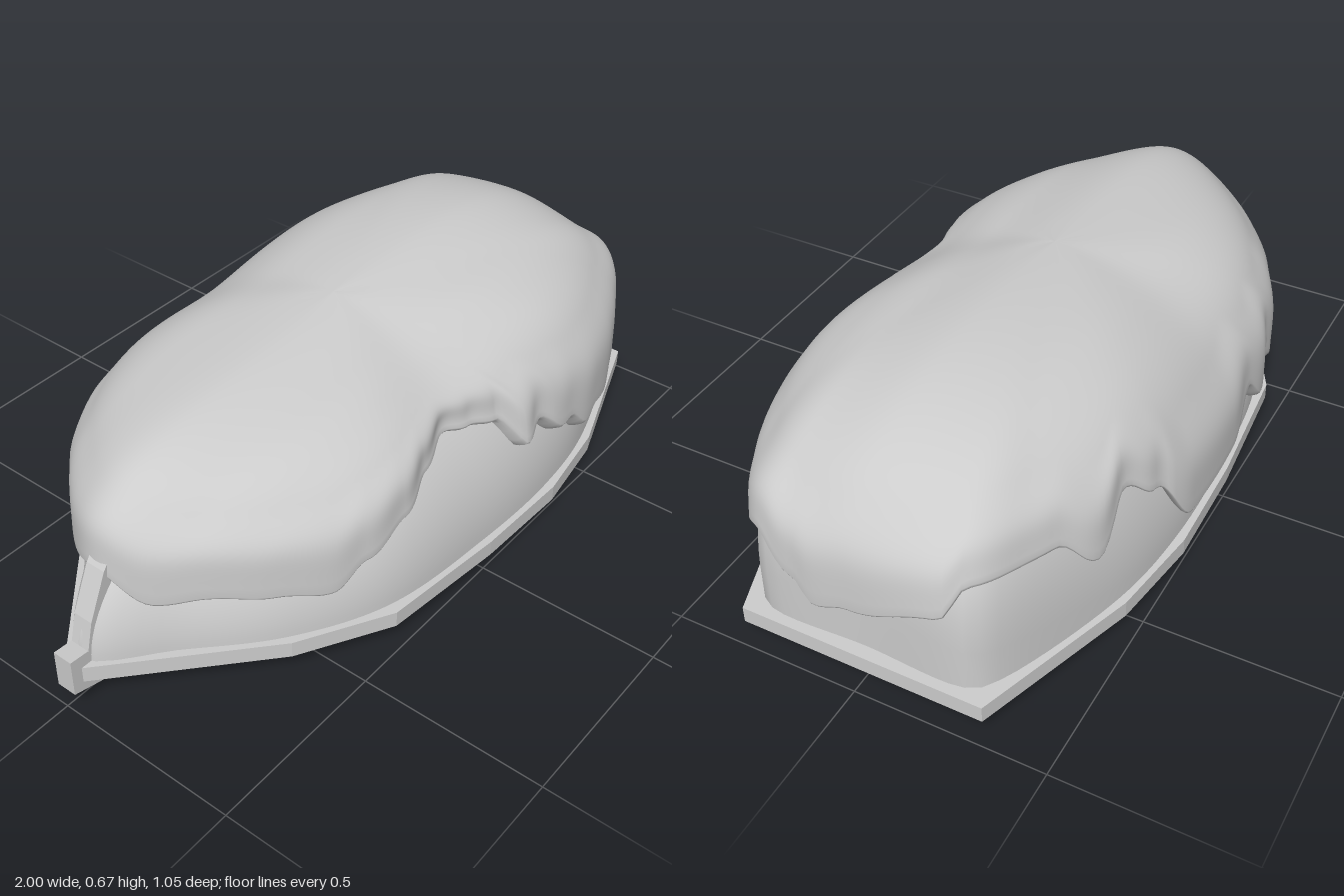
import * as THREE from 'three';

const grey = new THREE.MeshStandardMaterial({ color: 0xcccccc, side: THREE.DoubleSide });
const { smoothstep, clamp } = THREE.MathUtils;

// Plan outlines as [x, z], running from the bow round the +z side
const mirrorZ = (half) => [...half, ...half.filter(([, z]) => z > 0).reverse().map(([x, z]) => [x, -z])];
const smooth = (knots) => new THREE.CatmullRomCurve3(knots.map(([x, z]) => new THREE.Vector3(x, 0, z)), true)
  .getPoints(180).slice(0, -1).map((p) => [p.x, p.z]);
const rimPlan = mirrorZ([[-0.97, 0.028], [-0.6, 0.35], [-0.36, 0.48], [0, 0.512], [0.29, 0.517], [0.54, 0.477], [0.965, 0.325]]);
const hullPlan = smooth(mirrorZ([[-0.95, 0], [-0.78, 0.165], [-0.59, 0.33], [-0.35, 0.45], [0, 0.492], [0.29, 0.494], [0.54, 0.455],
  [0.89, 0.315], [0.93, 0.27], [0.93, 0]]));
const snowPlan = smooth([[-0.87, 0], [-0.82, 0.13], [-0.6, 0.345], [-0.36, 0.465], [0, 0.5], [0.29, 0.508], [0.54, 0.485], [0.8, 0.385],
  [0.96, 0.27], [0.99, 0], [0.96, -0.27], [0.8, -0.37], [0.54, -0.475], [0.3, -0.515], [0.05, -0.52], [-0.36, -0.465],
  [-0.6, -0.345], [-0.82, -0.12]]);

// Lower edge of the snow as [x, z, y]: +z side, stern, -z side
const edge = [[-0.87, 0, 0.35], [-0.81, 0.13, 0.28], [-0.73, 0.22, 0.295], [-0.62, 0.33, 0.275], [-0.5, 0.4, 0.25], [-0.42, 0.44, 0.31],
  [-0.3, 0.47, 0.36], [-0.2, 0.48, 0.41], [-0.08, 0.49, 0.44], [0.03, 0.5, 0.42], [0.13, 0.5, 0.4], [0.18, 0.5, 0.31],
  [0.26, 0.51, 0.345], [0.34, 0.5, 0.275], [0.38, 0.5, 0.28], [0.46, 0.49, 0.21], [0.53, 0.49, 0.225], [0.62, 0.46, 0.205],
  [0.7, 0.43, 0.25], [0.82, 0.37, 0.29], [0.96, 0.26, 0.37], [0.98, 0.15, 0.3], [0.985, 0.09, 0.245], [0.985, 0, 0.27],
  [0.97, -0.22, 0.33], [0.95, -0.28, 0.41], [0.75, -0.39, 0.4], [0.63, -0.44, 0.31], [0.54, -0.47, 0.42], [0.43, -0.5, 0.36],
  [0.28, -0.515, 0.205], [0.03, -0.52, 0.21], [-0.13, -0.51, 0.29], [-0.23, -0.49, 0.2], [-0.32, -0.47, 0.3], [-0.4, -0.45, 0.2],
  [-0.5, -0.41, 0.29], [-0.6, -0.34, 0.215], [-0.7, -0.25, 0.3], [-0.8, -0.14, 0.31]]
  .map(([x, z, y]) => [Math.atan2(z, x), y]).sort((a, b) => a[0] - b[0]);
const first = edge[0], last = edge[edge.length - 1];
const edgeLoop = [[last[0] - 2 * Math.PI, last[1]], ...edge, [first[0] + 2 * Math.PI, first[1]]];

function edgeHeight(angle) {
  const a = angle > Math.PI ? angle - 2 * Math.PI : angle;
  const k = Math.max(1, edgeLoop.findIndex((e) => e[0] >= a));
  const [p, q] = [edgeLoop[k - 1], edgeLoop[k]];
  const f = (1 - Math.cos(Math.PI * (a - p[0]) / (q[0] - p[0]))) / 2;
  return p[1] + (q[1] - p[1]) * f;
}

// Distance from the centre to a plan outline along an angle
function reach(plan, angle) {
  const c = Math.cos(angle), s = Math.sin(angle);
  let best = 0;
  plan.forEach(([x, z], i) => {
    const [x2, z2] = plan[(i + 1) % plan.length];
    const dx = x2 - x, dz = z2 - z, den = c * dz - s * dx;
    if (Math.abs(den) < 1e-9) return;
    const r = (x * dz - z * dx) / den, t = (x * s - z * c) / den;
    if (t >= -1e-6 && t <= 1 + 1e-6) best = Math.max(best, r);
  });
  return best;
}

// Closed dome grid: makeRing(angle) gives a function from ring to [x, y, z]
function dome(segments, rings, makeRing) {
  const pos = [], index = [], n = rings + 1;
  for (let i = 0; i < segments; i++) {
    const point = makeRing(2 * Math.PI * i / segments);
    for (let j = 0; j <= rings; j++) {
      pos.push(...point(j));
      if (j === rings) continue;
      const a = i * n + j, b = ((i + 1) % segments) * n + j;
      index.push(a, b, a + 1, b, b + 1, a + 1);
    }
  }
  const g = new THREE.BufferGeometry();
  g.setAttribute('position', new THREE.Float32BufferAttribute(pos, 3));
  g.setIndex(index);
  g.computeVertexNormals();
  return g;
}

// Hull bulge: boxy at the stern, raked at the bow, leaning in along the sides
const hullBase = (x) => 0.1 - 0.023 * x;
const hullTop = 0.59;
const hullPower = (angle) => 2.05 + (Math.cos(angle) > 0 ? 2.4 * Math.cos(angle) ** 6 : -0.05 * Math.cos(angle) ** 2);
function hullRadius(angle, y) {
  const R = reach(hullPlan, angle), n = hullPower(angle), base = hullBase(R * Math.cos(angle));
  const h = clamp((y - base) / (hullTop - base), 0, 1);
  return R * (1 - h ** n) ** (1 / n);
}

function hullGeometry() {
  return dome(160, 28, (a) => {
    const R = reach(hullPlan, a), n = hullPower(a), base = hullBase(R * Math.cos(a));
    return (j) => {
      const t = j / 28 * Math.PI / 2;
      const r = R * Math.sin(t) ** (2 / n), h = Math.max(Math.cos(t), 0) ** (2 / n);
      return [r * Math.cos(a), base + (hullTop - base) * h, r * Math.sin(a)];
    };
  });
}

// Flattened shoulders either side of the ridge
function snowSag(z) {
  const d = Math.abs(z);
  return smoothstep(d, 0, 0.2) * (1 - smoothstep(d, 0.3, 0.5)) * (z > 0 ? 0.026 : 0.012);
}

// Snow blanket with a rounded lip that tucks back into the hull
function snowGeometry() {
  const main = 40, lip = 8, base = 0.18, H = 0.478;
  return dome(320, main + lip, (a) => {
    const c = Math.cos(a), s = Math.sin(a);
    const R = reach(snowPlan, a), n = 2.3 + (c > 0 ? 1.3 : 1.4) * c * c;
    const e = edgeHeight(a), tEnd = Math.acos(((e - base) / H) ** (n / 2));
    const pull = e > 0.31 ? (0.31 - e) * 0.4 * s * s : (0.31 - e) * 0.08;
    const body = (f) => {
      const rho = Math.sin(f * tEnd) ** (2 / n), h = Math.cos(f * tEnd) ** (2 / n), k = smoothstep(f, 0.65, 1);
      const r = R * rho + k * pull + 0.012 * Math.sin(Math.PI * k);
      return [r, base + H * h + 0.07 * r * c * (1 - rho * rho) - snowSag(r * s) * (1 - k)];
    };
    const rEnd = body(1)[0];
    const rIn = Math.min(hullRadius(a, e + 0.01) - 0.015, rEnd - 0.02);
    return (j) => {
      let [r, y] = body(Math.min(j / main, 1));
      if (j > main) {
        const q = (j - main) / lip * Math.PI;
        r = rEnd + (rIn - rEnd) * (1 - Math.cos(q)) / 2;
        y = e - 0.016 * Math.sin(q);
      }
      return [r * c, y, r * s];
    };
  });
}

function rimGeometry() {
  const toV2 = (pts) => pts.map(([x, z]) => new THREE.Vector2(x, -z));
  const shape = new THREE.Shape(toV2(rimPlan));
  shape.holes.push(new THREE.Path(toV2(rimPlan.map(([x, z]) => [x * 0.88, z * 0.83]))));
  const g = new THREE.ExtrudeGeometry(shape, { depth: 0.045, bevelEnabled: false }).rotateX(-Math.PI / 2);
  const p = g.attributes.position;
  for (let i = 0; i < p.count; i++) p.setY(i, p.getY(i) + 0.062 - 0.0235 * p.getX(i));
  g.computeVertexNormals();
  return g;
}

// Side profile [x, y] given a width across z
function slab(points, width) {
  const shape = new THREE.Shape(points.map(([x, y]) => new THREE.Vector2(x, y)));
  return new THREE.ExtrudeGeometry(shape, { depth: width, bevelEnabled: false }).translate(0, 0, -width / 2);
}

// Half length of a plank of given width that just touches the hull inside
function seatHalf(x, y, width) {
  const inside = (px, z) => Math.hypot(px, z) < hullRadius(Math.atan2(z, px), y);
  let half = 0.05;
  while (inside(x - width / 2, half + 0.01) && inside(x + width / 2, half + 0.01)) half += 0.01;
  return half;
}

export function createModel() {
  const model = new THREE.Group(), boat = new THREE.Group();
  model.name = 'snowCoveredBoat';
  boat.name = 'boat';
  boat.position.z = 0.006;
  model.add(boat);
  const add = (parent, name, geometry) => {
    const mesh = new THREE.Mesh(geometry, grey);
    mesh.name = name;
    parent.add(mesh);
    return mesh;
  };

  add(model, 'snow', snowGeometry());
  add(boat, 'hull', hullGeometry());
  add(boat, 'gunwale', rimGeometry());

  // Raked stem and the block at its foot
  add(boat, 'stem', slab([[-0.955, 0.12], [-0.925, 0.24], [-0.87, 0.36], [-0.81, 0.44],
    [-0.73, 0.42], [-0.8, 0.34], [-0.87, 0.24], [-0.9, 0.12]], 0.055));
  add(boat, 'bowBlock', slab([[-1, 0.065], [-0.835, 0.02], [-0.835, 0.09], [-0.94, 0.12], [-0.945, 0.165], [-1, 0.17]], 0.055));

  // Seat planks across the inside
  for (const x of [0.45, -0.08, -0.6]) {
    const width = 0.15, y = 0.185;
    add(boat, 'seat', new THREE.BoxGeometry(width, 0.025, 2 * seatHalf(x, y, width))).position.set(x, y, 0);
  }

  // Oarlocks: small arches hanging under the gunwale
  const arch = new THREE.CatmullRomCurve3([[-0.028, 0.004], [-0.028, 0.04], [-0.014, 0.055], [0.014, 0.055], [0.028, 0.04], [0.028, 0.004]]
    .map(([x, y]) => new THREE.Vector3(x, y, 0)));
  for (const side of [-1, 1]) {
    add(boat, 'oarlock', new THREE.TubeGeometry(arch, 20, 0.006, 8)).position.set(0.11, 0, side * 0.476);
  }
  return model;
}
